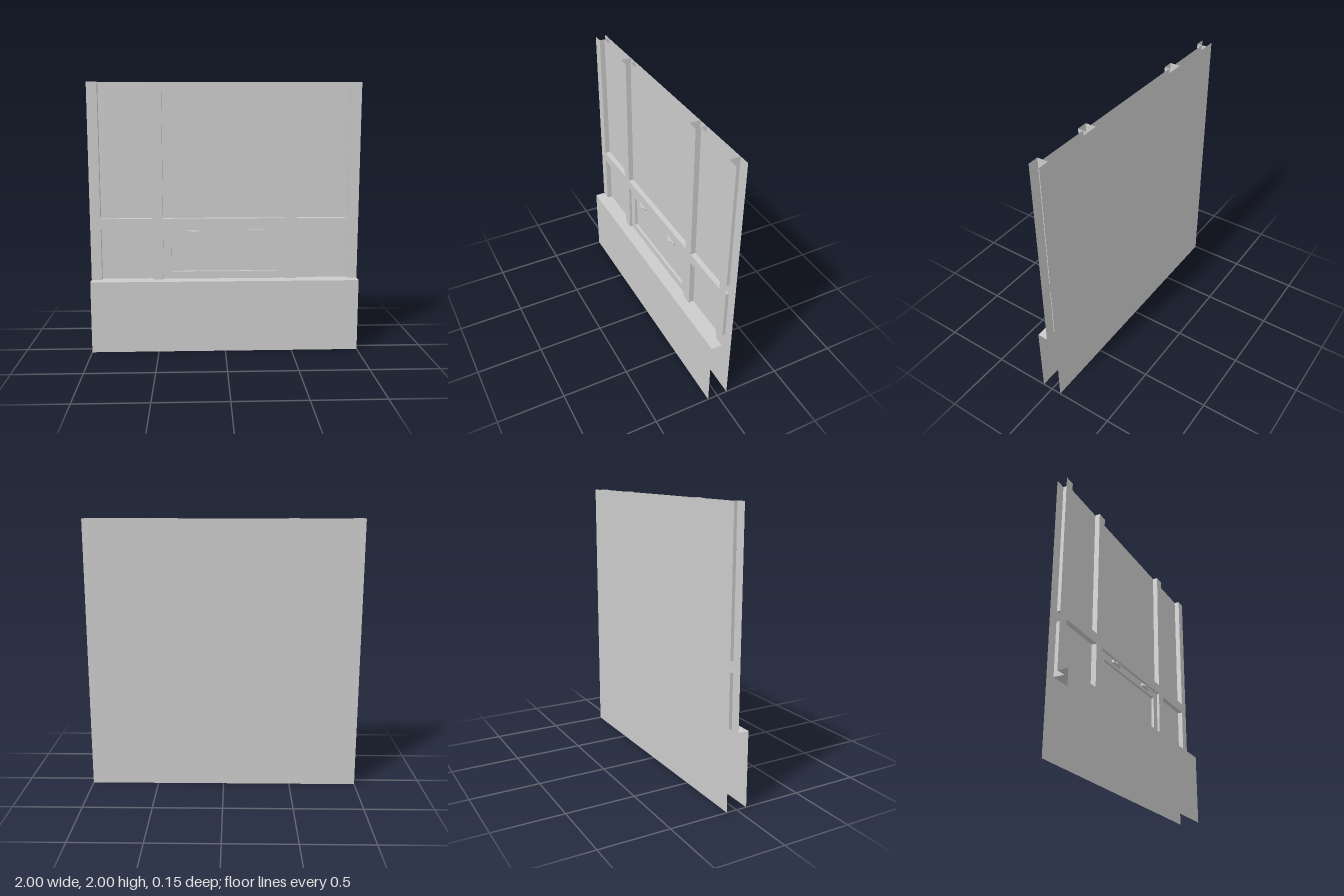
import * as THREE from 'three';

const material = new THREE.MeshStandardMaterial({ color: 0xcccccc, side: THREE.DoubleSide, flatShading: true });
const D = 0.077; // framing module: member width and depth of each layer

function add(parent, name, geometry, x, y, z) {
  const mesh = new THREE.Mesh(geometry, material);
  mesh.name = name;
  mesh.position.set(x, y, z);
  parent.add(mesh);
  return mesh;
}

// Upright sheet facing +z
function sheet(parent, name, x0, x1, y0, y1, z) {
  return add(parent, name, new THREE.PlaneGeometry(x1 - x0, y1 - y0), (x0 + x1) / 2, (y0 + y1) / 2, z);
}

// Upright sheet facing dir * x
function reveal(parent, name, x, y0, y1, z0, z1, dir) {
  const g = new THREE.PlaneGeometry(z1 - z0, y1 - y0).rotateY(dir * Math.PI / 2);
  return add(parent, name, g, x, (y0 + y1) / 2, (z0 + z1) / 2);
}

// Level sheet facing dir * y
function ledge(parent, name, x0, x1, y, z0, z1, dir) {
  const g = new THREE.PlaneGeometry(x1 - x0, z1 - z0).rotateX(-dir * Math.PI / 2);
  return add(parent, name, g, (x0 + x1) / 2, y, (z0 + z1) / 2);
}

// Inner walls of a rectangular opening
function lining(parent, name, x0, x1, y0, y1, z0, z1, closedTop) {
  reveal(parent, name + 'Side', x0, y0, y1, z0, z1, 1);
  reveal(parent, name + 'Side', x1, y0, y1, z0, z1, -1);
  ledge(parent, name + 'Sill', x0, x1, y0, z0, z1, 1);
  if (closedTop) ledge(parent, name + 'Head', x0, x1, y1, z0, z1, -1);
}

export function createModel() {
  const model = new THREE.Group();
  model.name = 'wallPanel';
  const base = 7 * D, railBottom = 12 * D, railTop = 13 * D, top = 2;

  // Back sheet, protruding base and its ledge
  sheet(model, 'backSheet', -1, 1, 0, top, -D).rotation.y = Math.PI;
  sheet(model, 'basePanel', -1, 1, 0, base, D);
  ledge(model, 'baseLedge', -1, 1, base, 0, D, 1);

  // Front faces of the posts and the cross rail
  const bays = [[-1 + D, -7 * D], [-6 * D, 6 * D], [7 * D, 1 - D]];
  const posts = [[-1, bays[0][0]], [bays[0][1], bays[1][0]], [bays[1][1], bays[2][0]], [bays[2][1], 1]];
  for (const [x0, x1] of posts) sheet(model, 'post', x0, x1, base, top, 0);

  bays.forEach(([x0, x1], i) => {
    sheet(model, 'crossRail', x0, x1, railBottom, railTop, 0);
    lining(model, 'upperOpening', x0, x1, railTop, top, -D, 0, false);
    lining(model, 'lowerOpening', x0, x1, base, railBottom, -D, 0, true);
    sheet(model, 'upperInfill', x0, x1, railTop, top, -D / 2);
    if (i !== 1) sheet(model, 'lowerInfill', x0, x1, base, railBottom, -D / 2);
  });

  // Centre lower panel with a shallow recessed hatch
  const face = -D / 4, floor = -D / 2;
  const [hx, h0, h1] = [0.4, 0.595, 0.87];
  const [cx0, cx1] = bays[1];
  sheet(model, 'hatchFrame', cx0, -hx, base, railBottom, face);
  sheet(model, 'hatchFrame', hx, cx1, base, railBottom, face);
  sheet(model, 'hatchFrame', -hx, hx, base, h0, face);
  sheet(model, 'hatchFrame', -hx, hx, h1, railBottom, face);
  lining(model, 'hatch', -hx, hx, h0, h1, floor, face, true);
  sheet(model, 'hatchPanel', -hx, hx, h0, h1, floor);

  // Mirrored pair of latches above the hatch
  for (const side of [-1, 1]) {
    const latch = new THREE.Group();
    latch.name = side > 0 ? 'leftLatch' : 'rightLatch';
    add(latch, 'latchPlate', new THREE.BoxGeometry(0.107, 0.022, 0.018), side * 0.233, 0.9, face + 0.009);
    add(latch, 'latchLever', new THREE.BoxGeometry(0.05, 0.012, 0.028), side * 0.227, 0.9, face + 0.014);
    model.add(latch);
  }
  return model;
}
